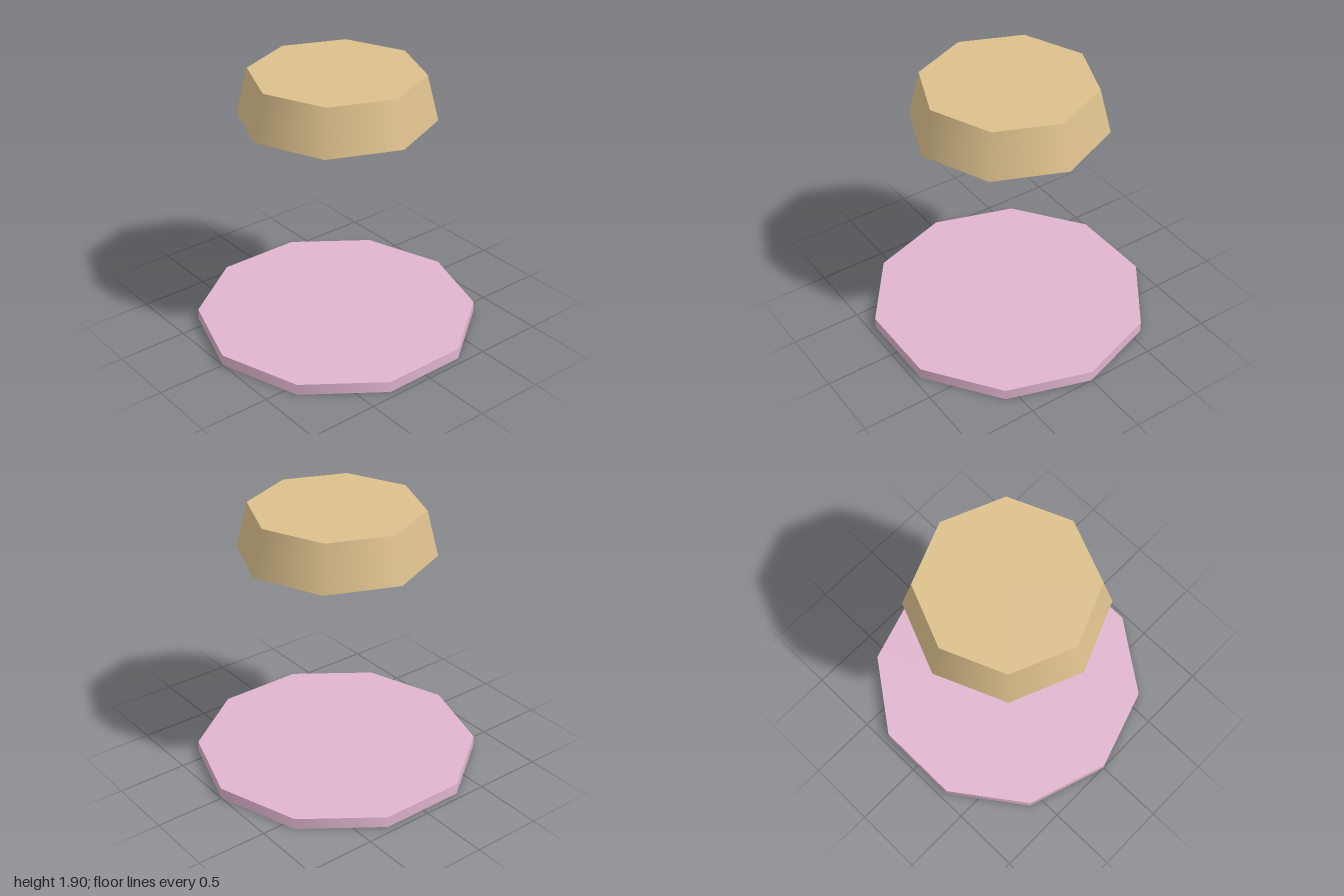
import * as THREE from 'three';

// Upright faceted disc with smooth side shading, standing on height y
function disc(name, topRadius, bottomRadius, y, height, sides, color) {
  const mesh = new THREE.Mesh(
    new THREE.CylinderGeometry(topRadius, bottomRadius, height, sides),
    new THREE.MeshStandardMaterial({ color })
  );
  mesh.name = name;
  mesh.position.y = y + height / 2;
  return mesh;
}

export function createModel() {
  const model = new THREE.Group();
  model.name = 'floatingDiscs';
  // Wide ten-sided plate on the ground
  model.add(disc('basePlate', 1, 1, 0, 0.08, 10, 0xe0b5ce));
  // Tapered eight-sided cap hovering above it
  model.add(disc('upperCap', 0.6, 0.68, 1.585, 0.32, 8, 0xdcc08c));
  return model;
}
